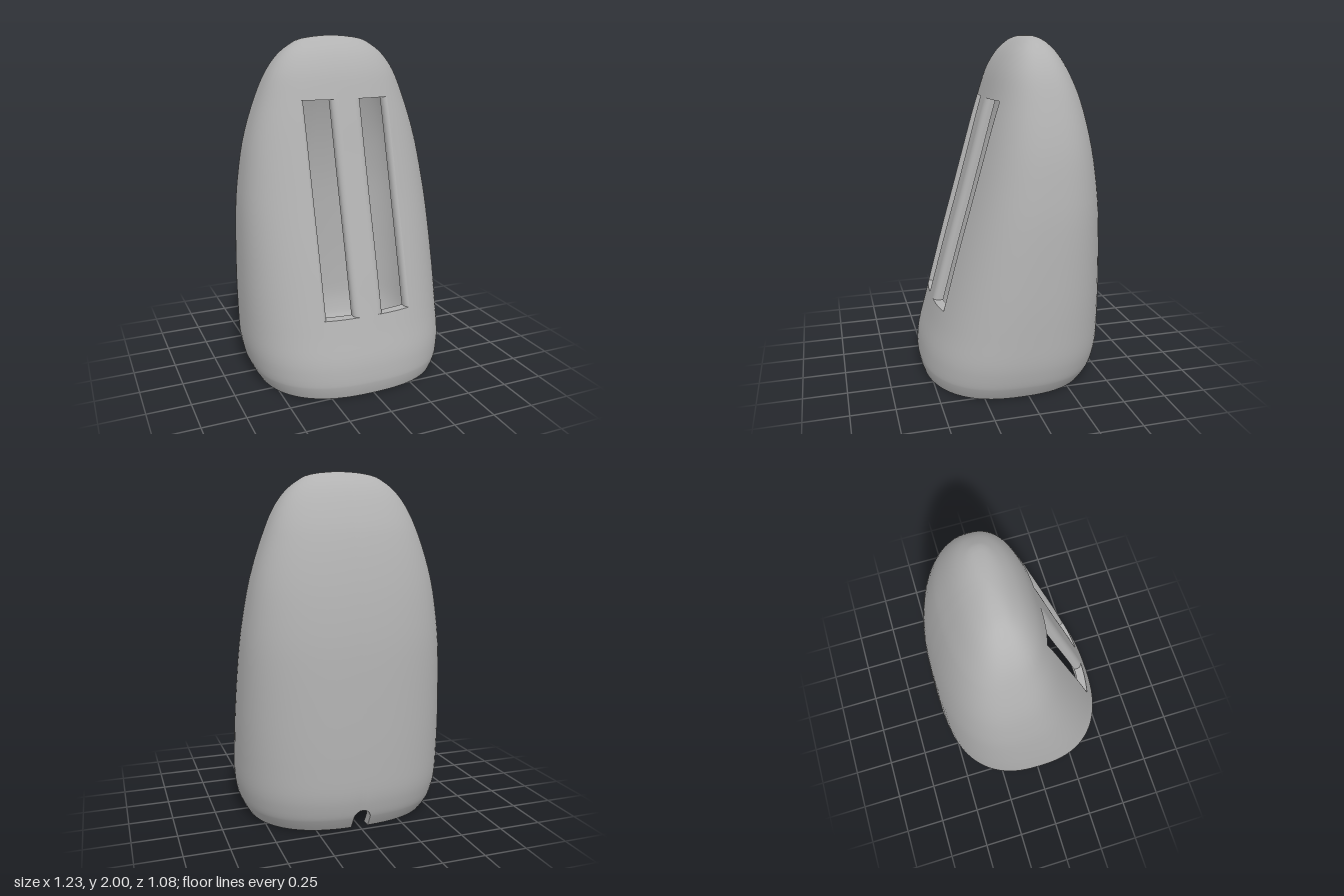
import * as THREE from 'three';

const N = 2.5;        // roundness of the cross-sections
const WALL = 0.055;   // shell thickness
const SLOT_LOW = 0.45, SLOT_HIGH = 1.65;

// Shell profile: height, half width, front z, back z
const PROFILE = [
  [2, 0, -0.13, -0.13], [1.98, 0.19, -0.06, -0.195], [1.95, 0.25, -0.02, -0.235],
  [1.9, 0.315, 0.025, -0.28], [1.8, 0.39, 0.08, -0.34], [1.65, 0.455, 0.128, -0.405],
  [1.4, 0.532, 0.197, -0.47], [1.2, 0.568, 0.252, -0.503], [1, 0.592, 0.308, -0.523],
  [0.6, 0.612, 0.42, -0.538], [0.35, 0.615, 0.488, -0.54], [0.2, 0.612, 0.53, -0.535],
  [0.1, 0.595, 0.542, -0.513], [0.05, 0.578, 0.541, -0.492], [0, 0.55, 0.528, -0.46],
];

// Smooth interpolation of the profile; the square root keeps the crown round
const knots = PROFILE.map((p) => Math.sqrt(2 - p[0]));
function profileAt(y, col) {
  const u = Math.sqrt(Math.max(0, 2 - y));
  const last = knots.length - 1;
  let i = 0;
  while (i < last - 1 && u > knots[i + 1]) i++;
  const slope = (k) => {
    const a = Math.max(0, k - 1), b = Math.min(last, k + 1);
    return (PROFILE[b][col] - PROFILE[a][col]) / (knots[b] - knots[a]);
  };
  const h = knots[i + 1] - knots[i], s = (u - knots[i]) / h;
  const s2 = s * s, s3 = s2 * s;
  return PROFILE[i][col] * (2 * s3 - 3 * s2 + 1) + slope(i) * h * (s3 - 2 * s2 + s)
    + PROFILE[i + 1][col] * (3 * s2 - 2 * s3) + slope(i + 1) * h * (s3 - s2);
}

function section(y, inset) {
  const full = profileAt(y, 1);
  const k = inset * Math.min(1, full / 0.35);
  const front = profileAt(y, 2) - k, back = profileAt(y, 3) + k;
  return { w: full - k, c: (front + back) / 2, d: (front - back) / 2 };
}

// Half width of the arched cable notch
const notchHalf = (y) => (y <= 0.07 ? 0.05
  : Math.max(0.015, 0.05 * Math.sqrt(Math.max(0, 1 - ((y - 0.07) / 0.05) ** 2))));

// Column groups on one half: bar, slot, side, back, notch
const COUNTS = [2, 6, 16, 18, 2];
const SLOT_A = 2, SLOT_B = 8, NOTCH = 42, HALF = 44, ALL = HALF * 2;

function ring(y, inset) {
  const { w, c, d } = section(y, inset);
  const limit = section(SLOT_HIGH, inset).w;
  const angle = (x) => Math.asin(Math.pow(x / Math.max(w, limit), N / 2));
  const breaks = [0, angle(inset ? 0.09 : 0.05), angle(inset ? 0.248 : 0.272),
    Math.PI / 2, Math.PI - angle(notchHalf(y)), Math.PI];
  const angles = [0];
  COUNTS.forEach((n, g) => {
    for (let k = 1; k <= n; k++) angles.push(breaks[g] + (breaks[g + 1] - breaks[g]) * k / n);
  });
  const py = y - inset * Math.max(0, (y - SLOT_HIGH) / (2 - SLOT_HIGH));
  const points = [];
  for (let j = 0; j < ALL; j++) {
    const t = angles[j <= HALF ? j : ALL - j], co = Math.cos(t);
    const x = w * Math.pow(Math.max(0, Math.sin(t)), 2 / N);
    const z = c + Math.sign(co) * d * Math.pow(Math.abs(co), 2 / N);
    points.push(new THREE.Vector3(j <= HALF ? x : -x, py, z));
  }
  return points;
}

// Surface through rows of points, with optional openings
function sheet(rows, closed, isOpen = () => false) {
  const n = rows[0].length, index = [];
  for (let i = 0; i < rows.length - 1; i++) {
    for (let j = 0; j < (closed ? n : n - 1); j++) {
      if (isOpen(i, j)) continue;
      const a = i * n + j, b = i * n + (j + 1) % n;
      index.push(a, b, b + n, a, b + n, a + n);
    }
  }
  const geometry = new THREE.BufferGeometry().setFromPoints(rows.flat());
  geometry.setIndex(index);
  geometry.computeVertexNormals();
  return geometry;
}

export function createModel() {
  const group = new THREE.Group();
  group.name = 'slottedHousing';
  const grey = new THREE.MeshStandardMaterial({ color: 0xb2b2b2, side: THREE.DoubleSide });
  grey.name = 'matte grey';
  const add = (name, geometry) => {
    const mesh = new THREE.Mesh(geometry, grey);
    mesh.name = name;
    group.add(mesh);
    return mesh;
  };

  // Row heights, with exact rows at the edges of the openings
  const heights = [0];
  for (const [from, to, n] of [[0, 0.07, 2], [0.07, 0.12, 5], [0.12, 0.45, 8], [0.45, 1.65, 18]]) {
    for (let k = 1; k <= n; k++) heights.push(from + (to - from) * k / n);
  }
  const notchTop = 7, low = 15, high = 33;
  for (let k = 1; k <= 18; k++) heights.push(2 - 0.35 * (1 - k / 18) ** 2);

  const outer = heights.map((y) => ring(y, 0));
  const inner = heights.map((y) => ring(y, WALL));
  const isOpen = (i, j) => {
    const m = j < HALF ? j : ALL - 1 - j;
    return (i >= low && i < high && m >= SLOT_A && m < SLOT_B) || (i < notchTop && m >= NOTCH);
  };
  add('outerShell', sheet(outer, true, isOpen));
  add('innerShell', sheet(inner, true, isOpen));

  // Flat bottom rim, interrupted by the notch
  add('bottomRim', sheet([outer[0], inner[0]], true, isOpen));

  // Slot sides with rounded outer edges, and flat slot ends
  const rounded = (p, q) => {
    const points = [];
    for (let k = 0; k <= 6; k++) {
      const a = k / 6 * Math.PI / 2;
      points.push(new THREE.Vector3(p.x + (q.x - p.x) * Math.sin(a), p.y,
        p.z - 0.035 * (1 - Math.cos(a))));
    }
    return [...points, q];
  };
  for (const left of [true, false]) {
    const col = (m) => (left ? m : ALL - m);
    const side = left ? 'left' : 'right';
    for (const m of [SLOT_A, SLOT_B]) {
      const rows = [];
      for (let i = low; i <= high; i++) rows.push(rounded(outer[i][col(m)], inner[i][col(m)]));
      add(side + (m === SLOT_A ? 'SlotInnerSide' : 'SlotOuterSide'), sheet(rows, false));
    }
    for (const i of [low, high]) {
      const pick = (r) => Array.from({ length: SLOT_B - SLOT_A + 1 }, (_, k) => r[i][col(SLOT_A + k)]);
      add(side + (i === low ? 'SlotBottom' : 'SlotTop'), sheet([pick(outer), pick(inner)], false));
    }
  }

  // Cable notch lining: up one side, over the arch, down the other
  const path = [];
  for (let i = 0; i <= notchTop; i++) path.push([i, NOTCH]);
  for (let j = NOTCH + 1; j <= ALL - NOTCH; j++) path.push([notchTop, j]);
  for (let i = notchTop - 1; i >= 0; i--) path.push([i, ALL - NOTCH]);
  add('cableNotch', sheet([outer, inner].map((s) => path.map(([i, j]) => s[i][j])), false));

  // Small hollow screw posts inside the four corners
  const post = new THREE.LatheGeometry([[0.014, 0.1], [0.014, 0.008], [0.03, 0.008], [0.03, 0.12]]
    .map(([r, y]) => new THREE.Vector2(r, y)), 20);
  for (const x of [-0.375, 0.375]) {
    for (const z of [-0.28, 0.34]) add('screwPost', post).position.set(x, 0, z);
  }
  return group;
}
